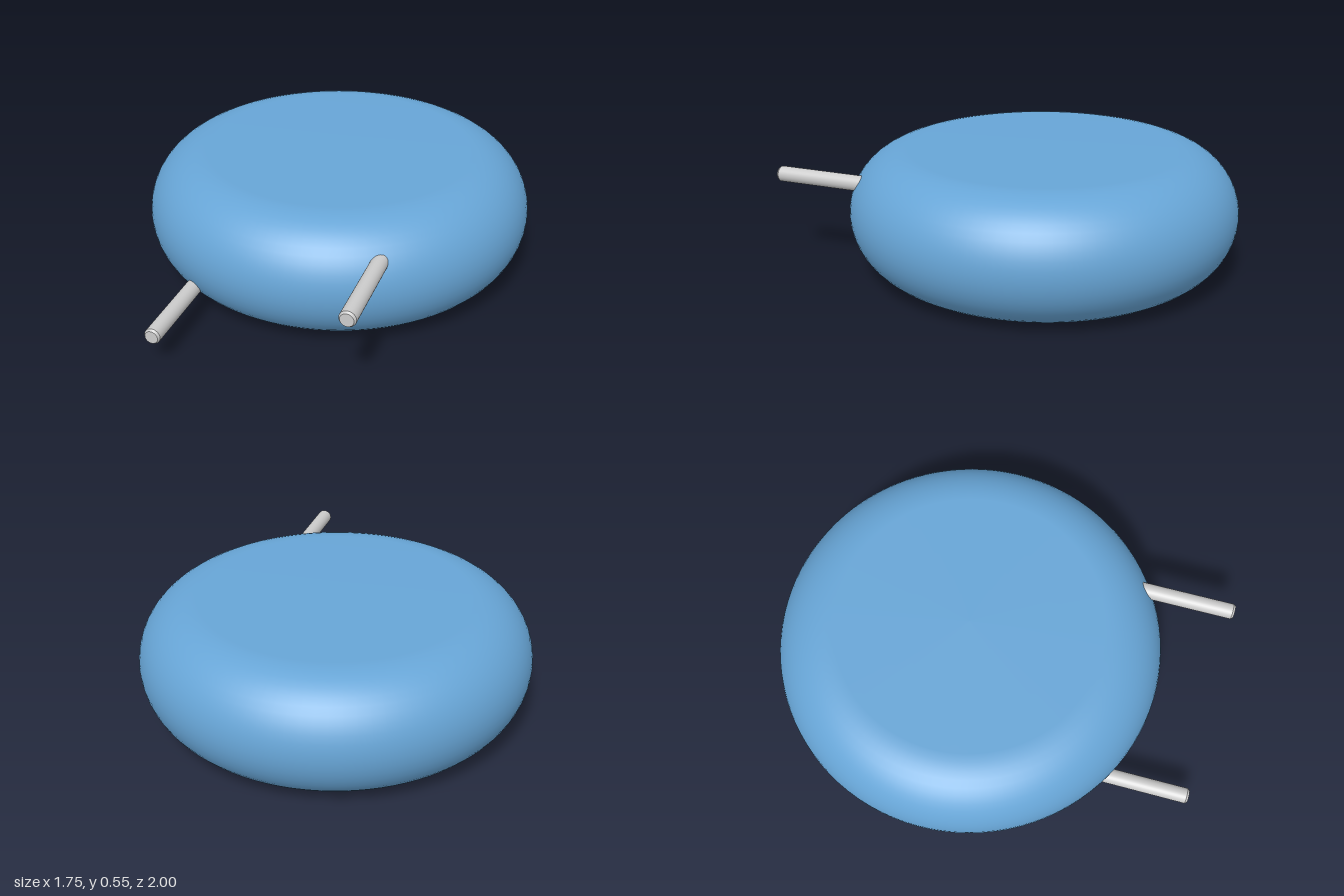
import * as THREE from 'three';

const HEIGHT = 0.553, RADIUS = 0.873, BODY_Z = -0.127;

export function createModel() {
  const model = new THREE.Group();
  const bodyMaterial = new THREE.MeshStandardMaterial({ color: 0x67a5d6 });
  const pinMaterial = new THREE.MeshStandardMaterial({ color: 0xcccccc });

  // Flat disc with a fully rounded, half-circle rim
  const r = HEIGHT / 2;
  const profile = [new THREE.Vector2(0, 0)];
  for (let i = 0; i <= 24; i++) {
    const a = -Math.PI / 2 + (Math.PI * i) / 24;
    profile.push(new THREE.Vector2(RADIUS - r + r * Math.cos(a), r + r * Math.sin(a)));
  }
  profile.push(new THREE.Vector2(0, HEIGHT));
  const body = new THREE.Mesh(new THREE.LatheGeometry(profile, 96), bodyMaterial);
  body.name = 'roundedBody';
  body.position.z = BODY_Z;
  model.add(body);

  // Two straight leads with slightly chamfered tips, rooted inside the body
  const leadProfile = [[0, 0], [0.035, 0], [0.035, 0.49], [0.028, 0.5], [0, 0.5]]
    .flatMap(([x, y]) => [new THREE.Vector2(x, y), new THREE.Vector2(x, y)]).slice(1, -1);
  const leadGeometry = new THREE.LatheGeometry(leadProfile, 32).rotateX(Math.PI / 2);
  for (const [name, x, y] of [['leftLead', 0.405, 0.413], ['rightLead', -0.41, 0.145]]) {
    const lead = new THREE.Mesh(leadGeometry, pinMaterial);
    lead.name = name;
    lead.position.set(x, y, 0.5);
    model.add(lead);
  }
  return model;
}
